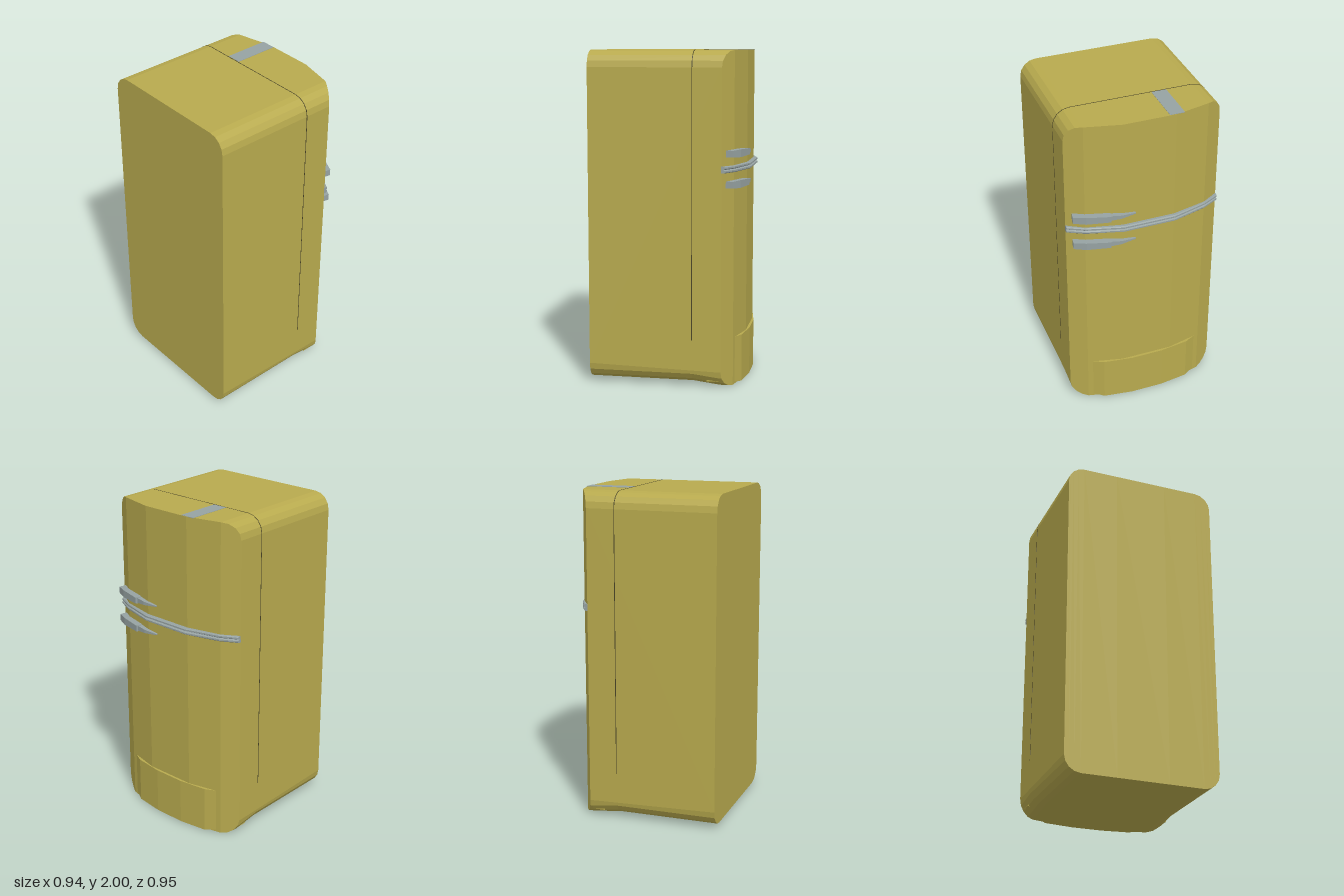
import * as THREE from 'three';

// Skin a row of closed loops (counter-clockwise seen from +z, ordered by rising z), flat-shaded.
function loft(loops) {
  const pos = [];
  const tri = (a, b, c) => pos.push(...a, ...b, ...c);
  const n = loops[0].length;
  for (let k = 0; k < loops.length - 1; k++) {
    for (let i = 0; i < n; i++) {
      const j = (i + 1) % n;
      const a = loops[k][i], b = loops[k][j], c = loops[k + 1][j], d = loops[k + 1][i];
      tri(a, b, c);
      tri(a, c, d);
    }
  }
  const first = loops[0], last = loops[loops.length - 1];
  for (let i = 1; i < n - 1; i++) {
    tri(first[0], first[i + 1], first[i]);
    tri(last[0], last[i], last[i + 1]);
  }
  const g = new THREE.BufferGeometry();
  g.setAttribute('position', new THREE.Float32BufferAttribute(pos, 3));
  g.computeVertexNormals();
  return g;
}

// Straight-line lookup in a table of [z, value], mirrored about z = 0
function lookup(table, z) {
  const a = Math.abs(z);
  for (let i = 1; i < table.length; i++) {
    const [z0, v0] = table[i - 1], [z1, v1] = table[i];
    if (a <= z1 + 1e-6) return v0 + (v1 - v0) * (a - z0) / (z1 - z0);
  }
  return table[table.length - 1][1];
}

const FRONT = [[0, 0.44], [0.16, 0.44], [0.375, 0.39], [0.475, 0.33]];
const frontX = z => lookup(FRONT, z);

// Rounded corners of the cabinet: z position with matching inset in height
const corner = [90, 67.5, 45, 22.5, 0].map(d => {
  const a = THREE.MathUtils.degToRad(d);
  return [0.375 + 0.1 * Math.cos(a), 0.1 - 0.1 * Math.sin(a)];
});
const inset = z => lookup([[0, 0], ...corner], z);
const half = [0.16, ...corner.map(c => c[0])];
const stations = [...half.map(z => -z).reverse(), ...half];

export function createModel() {
  const group = new THREE.Group();
  const olive = new THREE.MeshStandardMaterial({ color: 0xb8aa4e });
  olive.name = 'olive enamel';
  const steel = new THREE.MeshStandardMaterial({ color: 0x96a2a2 });
  steel.name = 'grey metal';
  const dark = new THREE.MeshStandardMaterial({ color: 0x4a4526 });
  dark.name = 'dark seam';

  const add = (name, geometry, material) => {
    const mesh = new THREE.Mesh(geometry, material);
    mesh.name = name;
    group.add(mesh);
    return mesh;
  };

  // Cabinet with bowed front, underside dipping toward the front
  add('cabinet', loft(stations.map(z => {
    const f = frontX(z), b = inset(z), t = 2 - b;
    return [[-0.47, b + 0.02, z], [0.155, b + 0.02, z], [0.32, b, z], [f, b, z], [f, t, z], [-0.47, t, z]];
  })), olive);

  // Bulging kick panel at the foot of the front
  const kick = [[0, 0.455], [0.1, 0.455], [0.28, 0.43], [0.45, 0.343]];
  add('kickPanel', loft([-0.45, -0.28, -0.1, 0.1, 0.28, 0.45].map(z => {
    const x = lookup(kick, z), b = inset(z);
    return [[x - 0.1, b, z], [x, b, z], [x, 0.29, z], [x - 0.1, 0.29, z]];
  })), olive);

  // Hairline seam between door and cabinet, over both sides and the top
  add('doorSeam', loft(stations.map(z => {
    const t = 2 - inset(z) + 0.001, w = z * 1.002;
    return [[0.153, 0.29, w], [0.157, 0.29, w], [0.157, t, w], [0.153, t, w]];
  })), dark);

  // Hinge cover plate on the top
  add('hingeCover', loft([-0.21, -0.12].map(z => [
    [0.16, 1.999, z], [0.437, 1.999, z], [0.437, 2.002, z], [0.16, 2.002, z],
  ])), steel);

  // Grooved trim between the two doors
  const trimProfile = [[0, 1.31], [0, 1.29], [0.7, 1.29], [1, 1.295], [1, 1.304], [0.5, 1.31],
    [1, 1.316], [1, 1.325], [0.7, 1.33], [0, 1.33]];
  const trimOuter = [[0, 0.464], [0.16, 0.464], [0.375, 0.403], [0.475, 0.352]];
  add('doorTrim', loft([-0.475, -0.375, -0.16, 0.16, 0.375, 0.475].map(z => {
    const x0 = frontX(z) - 0.003, x1 = lookup(trimOuter, z);
    return trimProfile.map(([u, y]) => [x0 + (x1 - x0) * u, y, z]);
  })), steel);

  // Handles: rows are inner x, inner z, outer x, outer z, half height
  const grip = [[0.425, 0.23, 0.465, 0.24, 0.019], [0.385, 0.37, 0.43, 0.38, 0.023], [0.345, 0.44, 0.397, 0.45, 0.02]];
  const tip = [[0.438, 0.085, 0.453, 0.083, 0.003], [0.438, 0.16, 0.463, 0.175, 0.011], [0.42, 0.25, 0.452, 0.25, 0.017]];
  const bar = (rows, y) => loft(rows.map(([xi, zi, xo, zo, h]) => [
    [xi, y - h, zi], [xo, y - h, zo], [xo, y + h, zo], [xi, y + h, zi],
  ]));
  for (const [name, y] of [['upperHandle', 1.401], ['lowerHandle', 1.22]]) {
    add(name + 'Grip', bar(grip, y), steel);
    add(name + 'Tip', bar(tip, y), steel);
  }
  return group;
}
